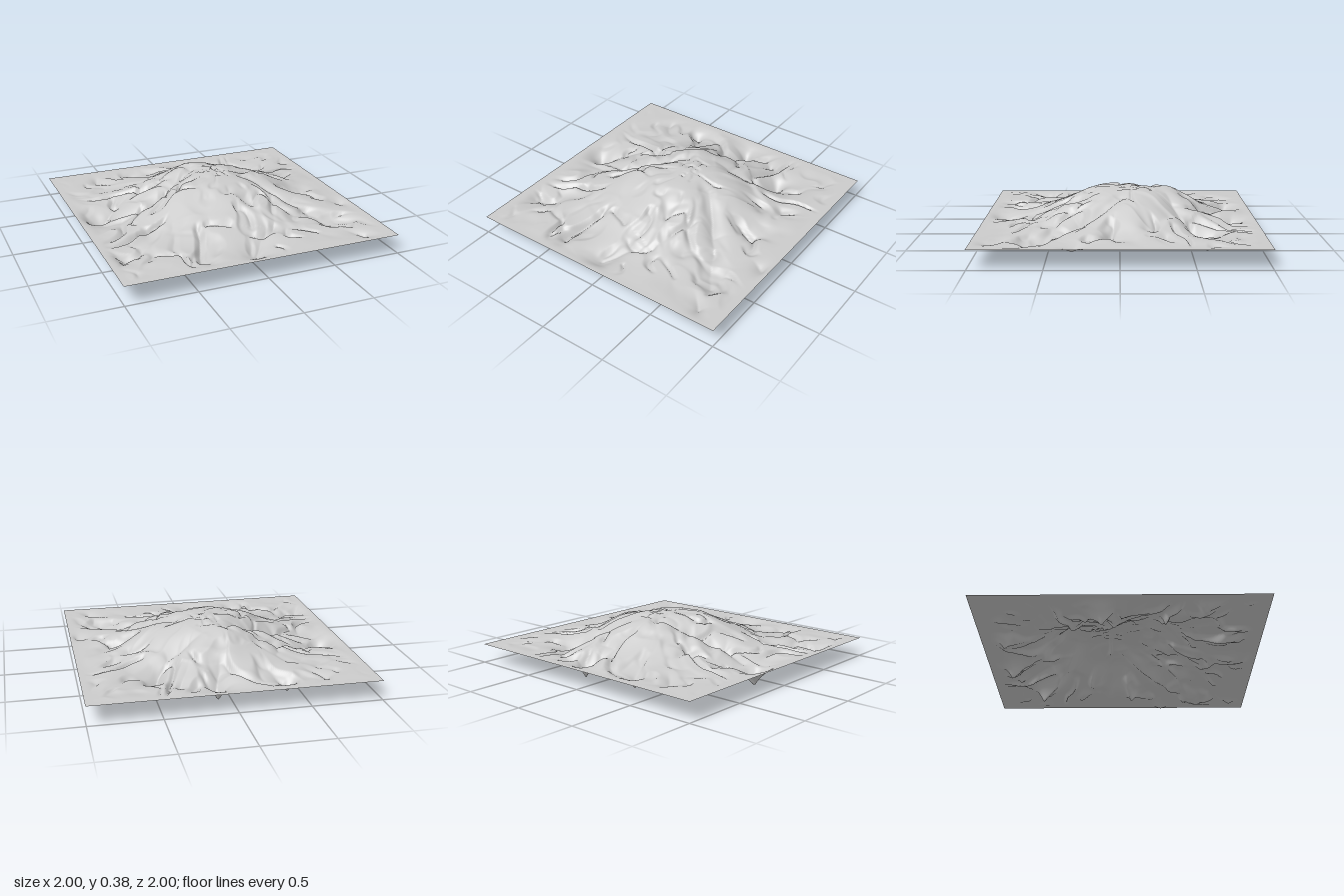
import * as THREE from 'three';

const { lerp, clamp, smoothstep, smootherstep } = THREE.MathUtils;
const BASE = 0.14, STEPS = 220;

// Round swelling of the ground
const bump = (x, z, cx, cz, size) => Math.exp(-((x - cx) ** 2 + (z - cz) ** 2) / size ** 2);

// Broad plateau with a summit and three shoulders
function mound(x, z) {
  const r = Math.hypot(x - 0.03, z + 0.05);
  return BASE + 0.235 * Math.exp(-Math.pow(r / 0.56, 2.9))
    + 0.02 * bump(x, z, -0.02, -0.2, 0.16)
    + 0.03 * bump(x, z, -0.06, -0.4, 0.12)
    + 0.02 * bump(x, z, 0.4, -0.18, 0.14)
    + 0.02 * bump(x, z, -0.3, 0.08, 0.12);
}

// Main valleys: head to mouth as [x, z, floor height]
const valleys = [
  [[0.12, -0.32, 0.33], [0.38, -0.45, 0.17], [0.5, -0.62, -0.015]],
  [[-0.38, -0.38, 0.24], [-0.58, -0.31, 0.16], [-0.72, -0.22, 0.11], [-0.85, -0.12, -0.01]],
  [[-0.12, -0.23, 0.33], [-0.5, -0.04, 0.14], [-0.72, -0.09, 0.1]],
  [[0.3, 0, 0.31], [0.52, 0.27, 0.15], [0.74, 0.66, 0.1]],
  [[-0.28, 0.36, 0.25], [-0.48, 0.43, 0.18], [-0.87, 0.59, 0.1]],
  [[0.2, 0.42, 0.26], [0.15, 0.6, 0.15], [-0.03, 0.86, 0.08]],
  [[0.04, -0.52, 0.28], [0.06, -0.68, 0.14], [0.1, -0.82, 0.03]],
];

// Side gullies running straight outward: [angle, start radius, end radius]
const sideGullies = [
  [0.08, 0.42, 0.72], [0.32, 0.85, 1], [0.83, 0.98, 1.2], [1.6, 0.47, 0.85],
  [2, 0.52, 0.92], [-2.25, 0.78, 1.05], [-2, 0.5, 0.9], [-1.15, 0.62, 0.85],
].map(([angle, start, end]) => {
  const c = Math.cos(angle), s = Math.sin(angle);
  return [[c * start, s * start, mound(c * start, s * start)], [c * end, s * end, BASE - 0.05]];
});

const channels = [
  ...valleys.map((points) => ({ points, width: 0.075 })),
  ...sideGullies.map((points) => ({ points, width: 0.045 })),
];

// Repeatable value noise, -1 to 1
function hash(i, j) {
  const s = Math.sin(i * 127.1 + j * 311.7) * 43758.5453;
  return (s - Math.floor(s)) * 2 - 1;
}
function noise(x, y) {
  const i = Math.floor(x), j = Math.floor(y);
  const u = smootherstep(x - i, 0, 1), v = smootherstep(y - j, 0, 1);
  return lerp(lerp(hash(i, j), hash(i + 1, j), u), lerp(hash(i, j + 1), hash(i + 1, j + 1), u), v);
}

// V-shaped rill where the noise crosses zero, broken into short stretches by a second noise
function crease(x, y) {
  const v = Math.max(0, 1 - Math.abs(noise(x, y)) * 2);
  return v * smoothstep(noise(x * 0.9 + 31, y * 0.9 - 17), -0.1, 0.5);
}

// Distance to a channel and the floor height at its nearest point
function nearest(points, x, z) {
  let best = Infinity, floor = 0;
  for (let i = 0; i + 1 < points.length; i++) {
    const [ax, az, ah] = points[i], [bx, bz, bh] = points[i + 1];
    const dx = bx - ax, dz = bz - az;
    const t = clamp(((x - ax) * dx + (z - az) * dz) / (dx * dx + dz * dz), 0, 1);
    const d = Math.hypot(x - ax - dx * t, z - az - dz * t);
    if (d < best) {
      best = d;
      floor = lerp(ah, bh, t);
    }
  }
  return [best, floor];
}

function height(x, z) {
  let h = mound(x, z);

  // Carved channels with wandering courses
  const wx = x + 0.02 * noise(x * 8 + 3, z * 8), wz = z + 0.02 * noise(x * 8, z * 8 + 9);
  for (const { points, width } of channels) {
    const [d, floor] = nearest(points, wx, wz);
    if (floor < h) h += (floor - h) * Math.exp(-Math.pow(d / width, 1.1));
  }

  // Small rills down the slopes, fading out at the rim
  const edge = 1 - Math.max(Math.abs(x), Math.abs(z));
  const cx = x - 0.03, cz = z + 0.05, r = Math.hypot(cx, cz);
  const ux = cx / (r + 0.2), uz = cz / (r + 0.2);
  const bend = 0.4 * noise(x * 5, z * 5);
  const rills = crease(ux * 5 + cx * 2 + bend, uz * 5 + cz * 2 - bend);
  const fine = crease(x * 6 + z * 4 + bend + 20, z * 6 - x * 4 - bend);
  const strength = smoothstep(edge, 0.02, 0.22) * lerp(0.3, 1, smoothstep(r, 0.1, 0.5));
  h += strength * (0.006 - 0.04 * rills - 0.03 * fine + 0.01 * noise(x * 5 + z * 2, z * 5 - x * 2));

  // Level rim, and pits that bottom out on the ground
  return Math.max(0, BASE + (h - BASE) * smoothstep(edge, 0, 0.1));
}

export function createModel() {
  const group = new THREE.Group();
  group.name = 'mountainTerrain';

  // Square sheet lifted by the height rule
  const sheet = new THREE.PlaneGeometry(2, 2, STEPS, STEPS).rotateX(-Math.PI / 2);
  const pos = sheet.attributes.position;
  for (let i = 0; i < pos.count; i++) pos.setY(i, height(pos.getX(i), pos.getZ(i)));
  sheet.computeVertexNormals();

  const material = new THREE.MeshStandardMaterial({ color: 0xcccccc, side: THREE.DoubleSide });
  const terrain = new THREE.Mesh(sheet, material);
  terrain.name = 'terrainSurface';
  group.add(terrain);
  return group;
}
